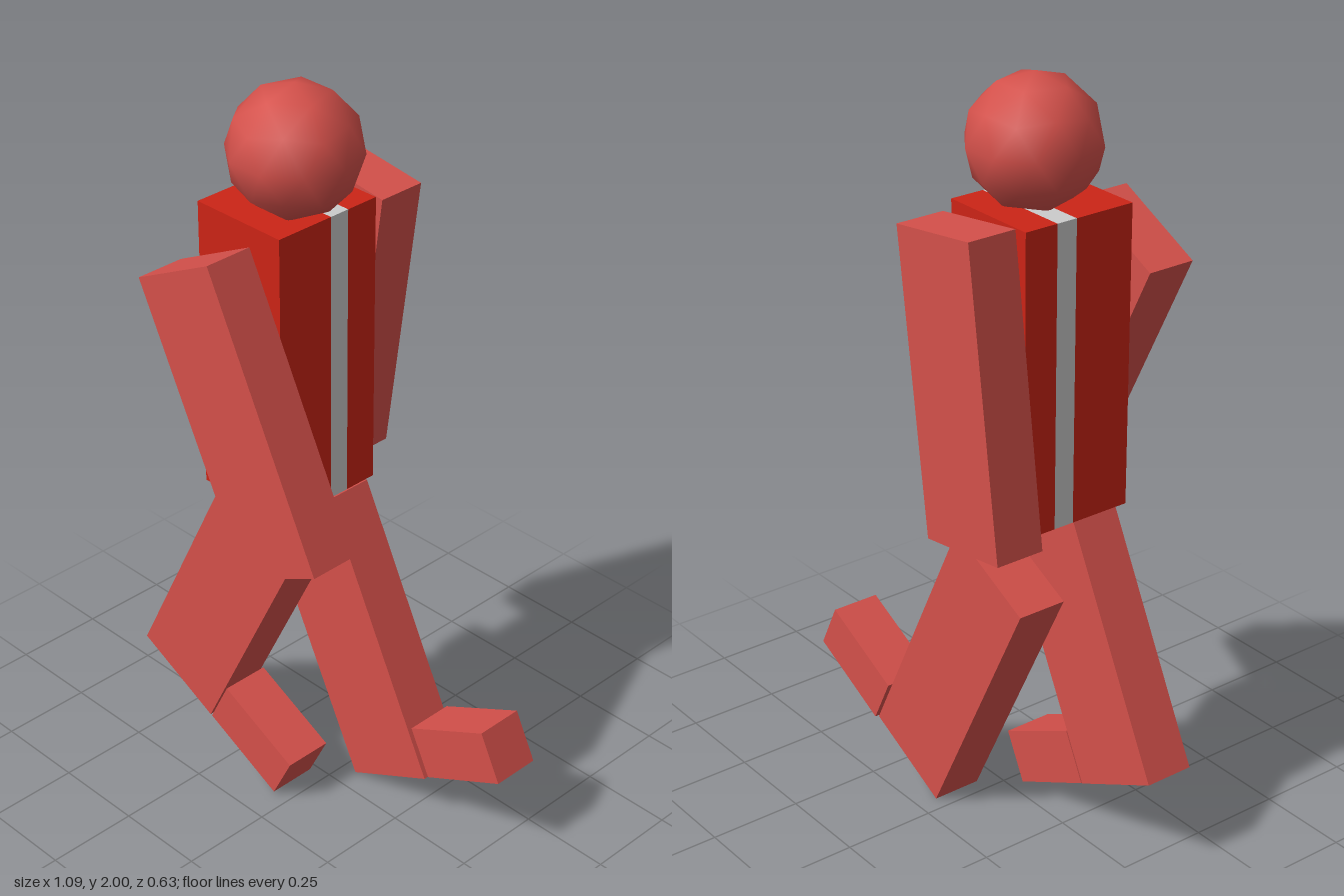
import * as THREE from 'three';
import { mergeVertices } from 'three/addons/utils/BufferGeometryUtils.js';

const skin = new THREE.MeshStandardMaterial({ color: 0xd4504a });
const red = new THREE.MeshStandardMaterial({ color: 0xcc2416 });
const grey = new THREE.MeshStandardMaterial({ color: 0xcccccc });

// A box of given size, centre and swing about the z axis
function block(name, material, [w, h, d], [x, y, z], swing = 0) {
  const mesh = new THREE.Mesh(new THREE.BoxGeometry(w, h, d), material);
  mesh.name = name;
  mesh.position.set(x, y, z);
  mesh.rotation.z = swing;
  return mesh;
}

export function createModel() {
  const model = new THREE.Group();
  model.name = 'walkingFigure';

  // Torso: three flush slices along z, the middle one a grey band
  const torso = new THREE.Group();
  torso.name = 'torso';
  const slices = [
    ['torsoFront', red, 0.163, -0.005],
    ['torsoBand', grey, -0.005, -0.062],
    ['torsoBack', red, -0.062, -0.155],
  ];
  for (const [name, material, z1, z0] of slices) {
    torso.add(block(name, material, [0.282, 0.79, z1 - z0], [-0.14, 1.295, (z0 + z1) / 2]));
  }
  model.add(torso);

  // Head: low-poly ball with smooth normals, one vertex turned straight up
  const ball = new THREE.IcosahedronGeometry(0.17, 1);
  ball.deleteAttribute('uv');
  ball.deleteAttribute('normal');
  ball.rotateX(-Math.atan((1 + Math.sqrt(5)) / 2));
  const headGeometry = mergeVertices(ball, 1e-4);
  headGeometry.computeVertexNormals();
  const head = new THREE.Mesh(headGeometry, skin);
  head.name = 'head';
  head.position.set(-0.112, 1.83, 0.003);
  model.add(head);

  // Arms swing in opposite directions
  const arm = [0.277, 0.787, 0.134];
  model.add(block('frontArm', skin, arm, [-0.029, 1.233, 0.248], 0.465));
  model.add(block('backArm', skin, arm, [-0.197, 1.297, -0.252], -0.135));

  // Legs in mid stride, each with its foot
  const leg = [0.287, 0.795, 0.135];
  const foot = [0.272, 0.142, 0.134];
  const stride = 0.465;
  model.add(block('frontLeg', skin, leg, [-0.243, 0.555, 0.096], -stride));
  model.add(block('frontFoot', skin, foot, [-0.135, 0.136, 0.096], -stride));
  model.add(block('backLeg', skin, leg, [-0.008, 0.422, -0.126], stride));
  model.add(block('backFoot', skin, foot, [0.391, 0.257, -0.136], stride));

  return model;
}
